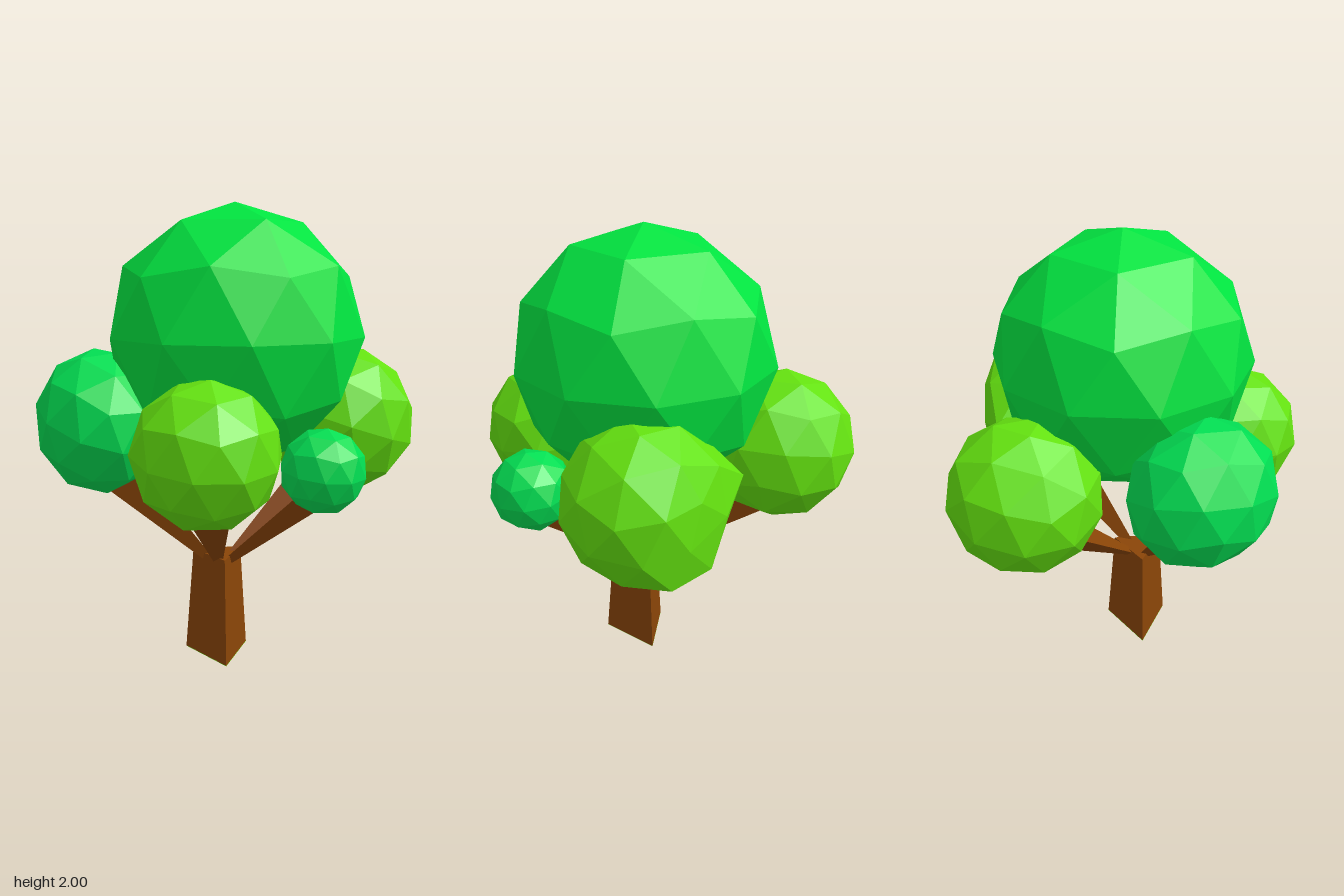
import * as THREE from 'three';

const GREEN = 0x02e440, TEAL_GREEN = 0x02de52, LIME = 0x64e210, BROWN = 0x8a4507;
const UP = new THREE.Vector3(0, 1, 0);
const deg = THREE.MathUtils.degToRad;

function part(name, geometry, color) {
  const mesh = new THREE.Mesh(geometry, new THREE.MeshStandardMaterial({ color, flatShading: true }));
  mesh.name = name;
  return mesh;
}

// Faceted ball with a vertex at its pole, turned by yaw and then leaned by tilt
function ball(radius, yaw, tilt = 0, lean = 0) {
  const g = new THREE.IcosahedronGeometry(radius, 1);
  g.rotateZ(-Math.atan(2 / (1 + Math.sqrt(5))));
  return g.rotateY(deg(yaw)).rotateX(deg(tilt)).rotateZ(deg(lean));
}

// Pulls corners outward along the given directions, then presses one side flat
function misshape(g, bumps, normal, distance) {
  const p = g.attributes.position, v = new THREE.Vector3();
  for (let i = 0; i < p.count; i++) {
    v.fromBufferAttribute(p, i);
    for (const [dir, amount] of bumps) {
      const near = v.clone().normalize().dot(dir);
      v.multiplyScalar(1 + amount * THREE.MathUtils.smoothstep(near, 0.86, 0.98));
    }
    v.addScaledVector(normal, Math.min(0, distance - v.dot(normal)));
    p.setXYZ(i, v.x, v.y, v.z);
  }
  g.computeVertexNormals();
  return g;
}

// Three-sided branch, thin at the trunk and wide inside its leaf ball
function branch(from, to, radius) {
  const axis = to.clone().sub(from);
  const g = new THREE.CylinderGeometry(radius, 0.02, axis.length(), 3);
  g.translate(0, axis.length() / 2, 0);
  const mesh = part('branch', g, BROWN);
  mesh.position.copy(from);
  mesh.quaternion.setFromUnitVectors(UP, axis.normalize());
  return mesh;
}

export function createModel() {
  const tree = new THREE.Group();
  tree.name = 'tree';

  // Triangular trunk, tapering upward
  const trunk = part('trunk', new THREE.CylinderGeometry(0.125, 0.163, 0.475, 3, 1, false, deg(76.7)), BROWN);
  trunk.position.set(-0.075, 0.2375, 0.043);
  tree.add(trunk);

  // Green underside of the trunk
  const base = part('trunkBase', new THREE.CylinderGeometry(0.1632, 0.1632, 0.002, 3, 1, false, deg(76.7)), LIME);
  base.position.set(-0.075, 0.001, 0.043);
  tree.add(base);

  // Main crown
  const crown = part('crown', ball(0.56, -48), GREEN);
  crown.position.set(0.005, 1.44, 0.065);
  tree.add(crown);

  // Lumpy ball with a flat outer side, and a ball squashed along the diagonal
  const frontLeft = misshape(ball(0.338, 20, 12, -14), [
    [new THREE.Vector3(0.22, 0.02, -0.36).normalize(), 0.22],
    [new THREE.Vector3(0.28, -0.21, -0.05).normalize(), 0.1],
  ], new THREE.Vector3(0.97, 0, -0.24).normalize(), 0.29);
  const backRight = ball(0.31, 35, 15, 12).scale(1.07, 1.02, 0.91).rotateY(deg(45));

  // Lower leaf balls, each carried by a branch
  const balls = [
    ['frontLeftLeaves', frontLeft, LIME, [0.43, 1.04, 0.36], 0.12],
    ['frontRightLeaves', ball(0.303, 10, 8, 5), LIME, [-0.462, 1.015, 0.262], 0.115],
    ['backLeftLeaves', ball(0.328, -20, -12, 10), LIME, [0.325, 1.035, -0.435], 0.12],
    ['backRightLeaves', backRight, TEAL_GREEN, [-0.39, 1.075, -0.365], 0.11],
    ['smallFrontLeaves', ball(0.177, 15, 6, 0), TEAL_GREEN, [-0.095, 0.925, 0.573], 0.06],
  ];
  const root = new THREE.Vector3(-0.075, 0.445, 0.045);
  for (const [name, geometry, color, centre, width] of balls) {
    const leaves = part(name, geometry, color);
    leaves.position.set(...centre);
    const toward = leaves.position.clone().sub(root).setY(0).normalize();
    const start = root.clone().addScaledVector(toward, 0.045);
    const target = leaves.position.clone().addScaledVector(UP, -1.2 * width);
    tree.add(leaves, branch(start, start.clone().lerp(target, 0.88), width));
  }
  return tree;
}
